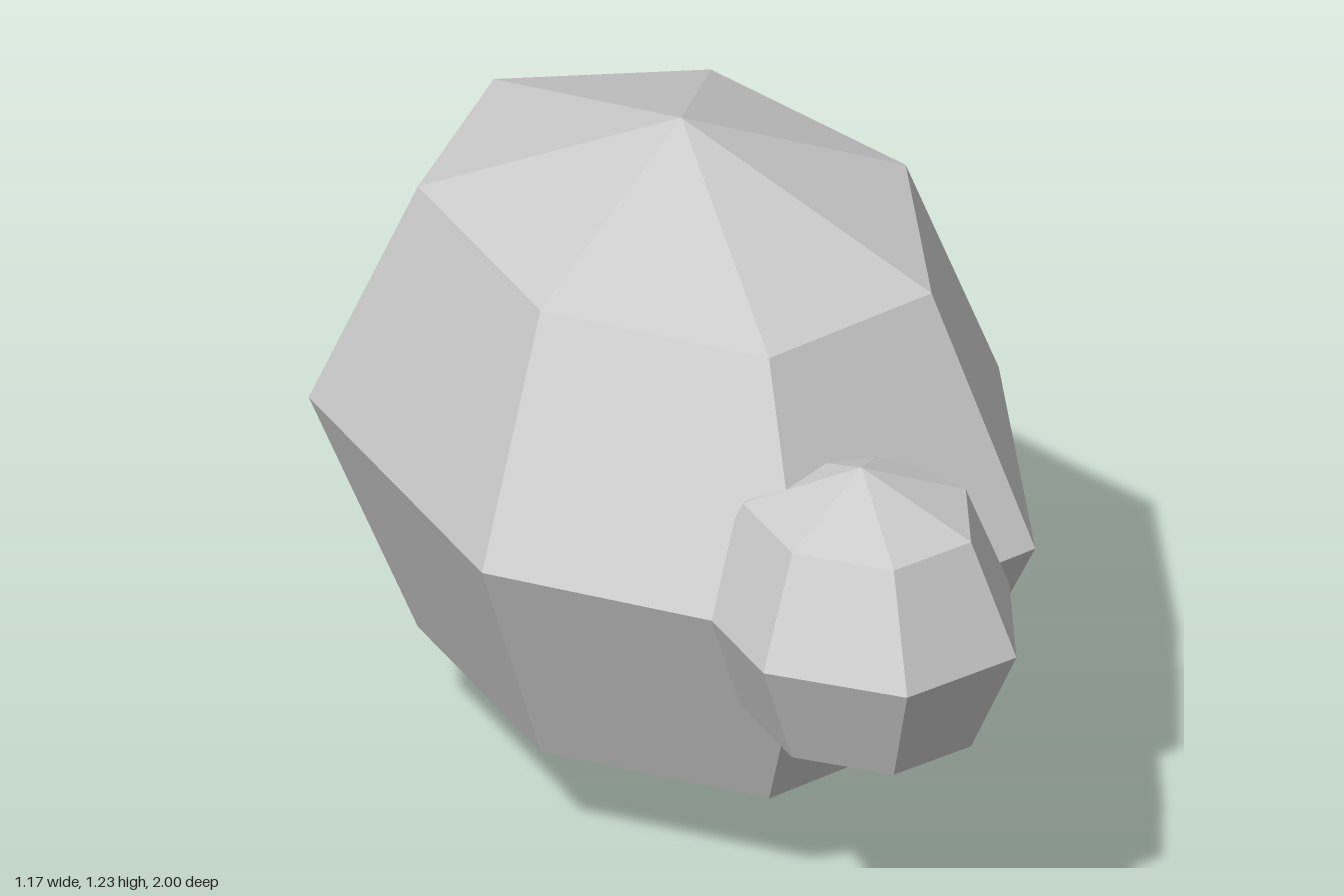
import * as THREE from 'three';

// Faceted seven-sided ellipsoid with one corner of each ring pointing to +x
function pebble(name, material, radii, position) {
  const geometry = new THREE.SphereGeometry(1, 7, 4);
  geometry.rotateY(Math.PI);
  geometry.scale(...radii);
  const flat = geometry.toNonIndexed();
  flat.computeVertexNormals();
  const mesh = new THREE.Mesh(flat, material);
  mesh.name = name;
  mesh.position.set(...position);
  return mesh;
}

export function createModel() {
  const group = new THREE.Group();
  group.name = 'lowPolyPebbles';

  const grey = new THREE.MeshStandardMaterial({ color: 0xcccccc, flatShading: true });
  grey.name = 'light grey';

  // Large body, standing on its lowest point
  group.add(pebble('body', grey, [0.615, 0.617, 0.88], [-0.03, 0.62, -0.142]));
  // Small head sunk into the front of the body
  group.add(pebble('head', grey, [0.286, 0.286, 0.355], [-0.03, 0.62, 0.652]));

  return group;
}
